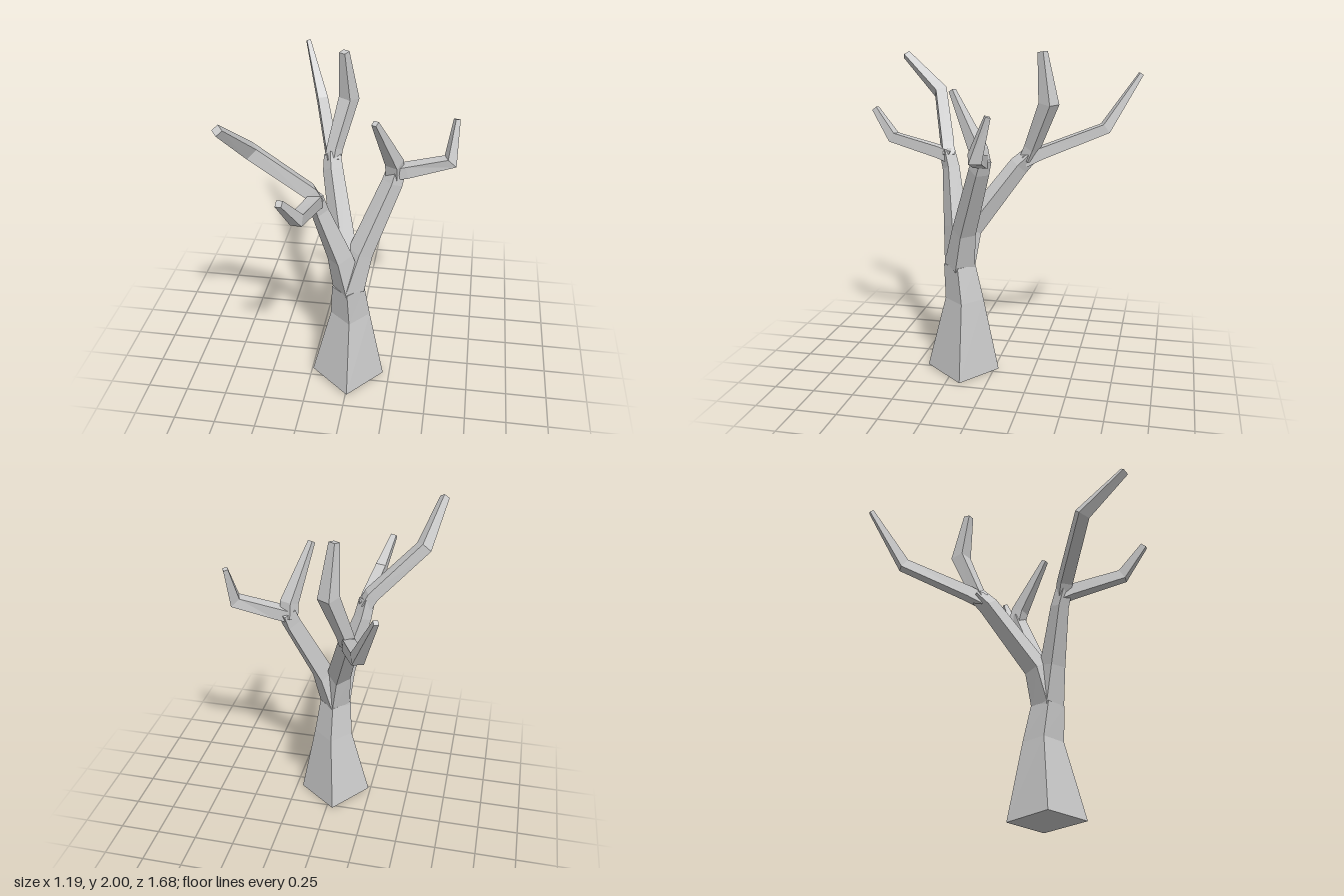
import * as THREE from 'three';

const V = (x, y, z) => new THREE.Vector3(x, y, z);
const UP = V(0, 1, 0);
const bark = new THREE.MeshStandardMaterial({ color: 0xcccccc, flatShading: true });

// Skin a list of four-cornered rings (counterclockwise seen from the tip), capped at both ends
function skin(rings, name) {
  const pos = [];
  const quad = (a, b, c, d) => [a, b, c, a, c, d].forEach((p) => pos.push(p.x, p.y, p.z));
  for (let i = 0; i < rings.length - 1; i++) {
    for (let k = 0; k < 4; k++) {
      const n = (k + 1) % 4;
      quad(rings[i][k], rings[i][n], rings[i + 1][n], rings[i + 1][k]);
    }
  }
  const [a, b, c, d] = rings[0];
  quad(d, c, b, a);
  quad(...rings[rings.length - 1]);
  const geo = new THREE.BufferGeometry();
  geo.setAttribute('position', new THREE.Float32BufferAttribute(pos, 3));
  geo.computeVertexNormals();
  const mesh = new THREE.Mesh(geo, bark);
  mesh.name = name;
  return mesh;
}

// Square-section branch through nodes [x, y, z, half diagonal]; corner = direction of the first corner
function branch(name, nodes, corner) {
  const pts = nodes.map(([x, y, z]) => V(x, y, z));
  const dirs = pts.slice(1).map((p, i) => p.clone().sub(pts[i]).normalize());
  let u = corner;
  if (!u) {
    // limbs carry flat faces on top and at the sides
    const d = dirs[Math.min(1, dirs.length - 1)];
    const side = V(0, 0, 0).crossVectors(d, UP).normalize();
    u = side.clone().add(V(0, 0, 0).crossVectors(side, d));
  }
  const rings = pts.map((p, i) => {
    const t = dirs[Math.max(i - 1, 0)].clone().add(dirs[Math.min(i, dirs.length - 1)]).normalize();
    u = u.clone().addScaledVector(t, -u.dot(t)).normalize();
    const v = V(0, 0, 0).crossVectors(t, u);
    const r = nodes[i][3];
    return [[1, 0], [0, 1], [-1, 0], [0, -1]].map(([a, b]) =>
      p.clone().addScaledVector(u, a * r).addScaledVector(v, b * r));
  });
  return skin(rings, name);
}

export function createModel() {
  const tree = new THREE.Group();
  tree.name = 'bareTree';

  // trunk: flared foot narrowing to the crotch
  tree.add(skin([
    [V(0.21, 0, 0.165), V(-0.04, 0.005, -0.03), V(-0.24, 0.02, 0.21), V(0.01, 0.015, 0.42)],
    [V(0.12, 0.48, 0.17), V(-0.01, 0.48, 0.06), V(-0.12, 0.48, 0.19), V(0.01, 0.48, 0.3)],
    [V(0.09, 0.7, 0.2), V(-0.01, 0.7, 0.11), V(-0.105, 0.7, 0.22), V(0, 0.7, 0.31)],
  ], 'trunk'));

  // three main stems leaving the trunk
  const crotch = [-0.005, 0.7, 0.21, 0.097];
  const stems = {
    leftStem: [crotch, [0.06, 0.93, 0.165, 0.075], [0.225, 1.34, 0.03, 0.062], [0.245, 1.42, 0.005, 0.055]],
    backStem: [crotch, [-0.04, 0.93, 0.15, 0.075], [-0.15, 1.31, -0.13, 0.062], [-0.165, 1.38, -0.2, 0.052]],
    frontStem: [crotch, [-0.05, 0.94, 0.245, 0.077], [-0.155, 1.28, 0.3, 0.055], [-0.175, 1.39, 0.33, 0.05]],
  };
  for (const [name, nodes] of Object.entries(stems)) tree.add(branch(name, nodes, V(1, 0, 0)));

  // each stem forks into two bent, tapering limbs
  const limbs = {
    leftUpperLimb: [[0.235, 1.38, 0.01, 0.055], [0.235, 1.47, 0.03, 0.056], [0.14, 1.79, 0.205, 0.022]],
    leftOuterLimb: [[0.235, 1.4, 0.01, 0.05], [0.305, 1.415, 0.005, 0.052], [0.55, 1.475, -0.025, 0.05],
      [0.57, 1.705, -0.1, 0.02]],
    backUpperLimb: [[-0.16, 1.35, -0.18, 0.05], [-0.15, 1.42, -0.21, 0.05], [-0.08, 1.7, -0.32, 0.062],
      [-0.1, 2, -0.275, 0.03]],
    backOuterLimb: [[-0.155, 1.34, -0.16, 0.05], [-0.18, 1.385, -0.25, 0.05], [-0.3, 1.535, -0.635, 0.045],
      [-0.42, 1.855, -0.83, 0.018]],
    frontUpperLimb: [[-0.165, 1.35, 0.32, 0.05], [-0.2, 1.42, 0.335, 0.053], [-0.49, 1.71, 0.455, 0.052],
      [-0.57, 1.94, 0.71, 0.03]],
    frontLowerLimb: [[-0.165, 1.35, 0.31, 0.05], [-0.17, 1.375, 0.38, 0.05], [-0.2, 1.45, 0.685, 0.045],
      [-0.255, 1.62, 0.82, 0.025]],
  };
  for (const [name, nodes] of Object.entries(limbs)) tree.add(branch(name, nodes));

  return tree;
}
